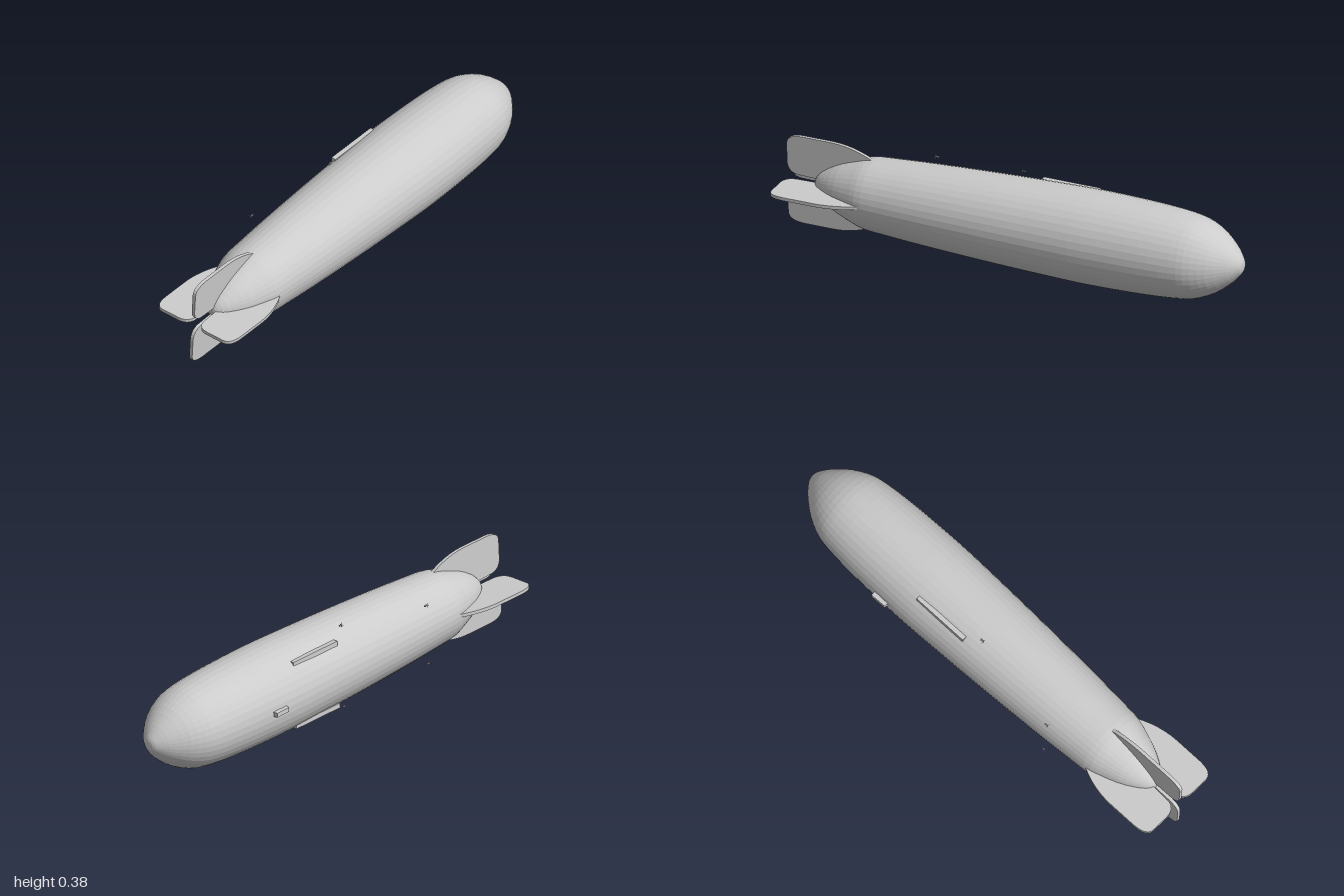
import * as THREE from 'three';

const flat = () => new THREE.MeshStandardMaterial({ color: 0xcccccc, flatShading: true });

function add(parent, name, geometry) {
  const mesh = new THREE.Mesh(geometry, flat());
  mesh.name = name;
  parent.add(mesh);
  return mesh;
}

// Hull: lathe along x from tail to nose
function hullGeometry() {
  const profile = [
    [0, -0.875], [0.025, -0.87], [0.058, -0.84], [0.1, -0.77], [0.13, -0.69], [0.147, -0.63],
    [0.154, -0.54], [0.163, -0.4], [0.173, -0.2], [0.181, 0], [0.187, 0.2], [0.19, 0.34],
    [0.188, 0.5], [0.183, 0.64], [0.174, 0.75], [0.16, 0.82], [0.127, 0.89],
    [0.08, 0.95], [0.045, 0.982], [0.022, 0.997], [0, 1],
  ].map(([r, x]) => new THREE.Vector2(r, x));
  const points = new THREE.SplineCurve(profile).getPoints(50);
  points.forEach((p) => { p.x = Math.max(p.x, 0); });
  return new THREE.LatheGeometry(points, 40).rotateZ(-Math.PI / 2);
}

// Tail fin in the xy plane, growing outward along +y
function finGeometry() {
  const s = new THREE.Shape();
  s.moveTo(-0.64, 0.1);
  s.lineTo(-0.625, 0.147);
  s.quadraticCurveTo(-0.71, 0.189, -0.8, 0.19);
  s.lineTo(-0.93, 0.19);
  s.quadraticCurveTo(-0.998, 0.188, -0.998, 0.15);
  s.lineTo(-0.998, 0.07);
  s.quadraticCurveTo(-0.996, 0.024, -0.95, 0.02);
  s.lineTo(-0.84, 0.016);
  s.closePath();
  const depth = 0.014;
  return new THREE.ExtrudeGeometry(s, { depth, bevelEnabled: false, curveSegments: 6 })
    .translate(0, 0, -depth / 2);
}

// Tiny engine pod with crossed propeller blades
function enginePod() {
  const pod = new THREE.Group();
  pod.name = 'enginePod';
  add(pod, 'engineBody', new THREE.CylinderGeometry(0.004, 0.002, 0.014, 8).rotateZ(-Math.PI / 2));
  add(pod, 'propellerBladeVertical', new THREE.BoxGeometry(0.001, 0.02, 0.0015)).position.x = -0.007;
  add(pod, 'propellerBladeHorizontal', new THREE.BoxGeometry(0.001, 0.0015, 0.02)).position.x = -0.007;
  return pod;
}

export function createModel() {
  const model = new THREE.Group();
  model.name = 'airship';

  // Slight yaw and roll of the whole ship; its belly faces -z
  const ship = new THREE.Group();
  ship.name = 'ship';
  ship.position.set(0, 0.192, 0.005);
  ship.rotation.set(0.055, -0.016, 0);
  model.add(ship);

  add(ship, 'hull', hullGeometry());

  // Four fins around the tail
  for (let i = 0; i < 4; i++) {
    add(ship, 'tailFin', finGeometry()).rotation.x = (i * Math.PI) / 2;
  }

  // Control car: tapered block under the belly
  const car = new THREE.Shape();
  car.moveTo(0.405, -0.17);
  car.lineTo(0.485, -0.17);
  car.lineTo(0.483, -0.207);
  car.lineTo(0.415, -0.205);
  car.closePath();
  const carGeometry = new THREE.ExtrudeGeometry(car, { depth: 0.024, bevelEnabled: false })
    .translate(0, 0, -0.012).rotateX(Math.PI / 2);
  const pos = carGeometry.attributes.position;
  for (let i = 0; i < pos.count; i++) {
    if (pos.getZ(i) < -0.2) pos.setY(i, pos.getY(i) * 0.75);
  }
  add(ship, 'controlCar', carGeometry);

  // Long side galleries and engine pods, mirrored about the belly line
  for (const side of [1, -1]) {
    const place = (object, x, radius, degrees) => {
      const a = THREE.MathUtils.degToRad(degrees);
      object.position.set(x, side * radius * Math.sin(a), -radius * Math.cos(a));
    };
    place(add(ship, 'sideGallery', new THREE.BoxGeometry(0.25, 0.02, 0.02)), 0.185, 0.186, 46.7);
    for (const [x, radius, degrees] of [[-0.005, 0.201, 61.7], [-0.42, 0.205, 38.1]]) {
      const pod = enginePod();
      place(pod, x, radius, degrees);
      ship.add(pod);
    }
  }
  return model;
}
